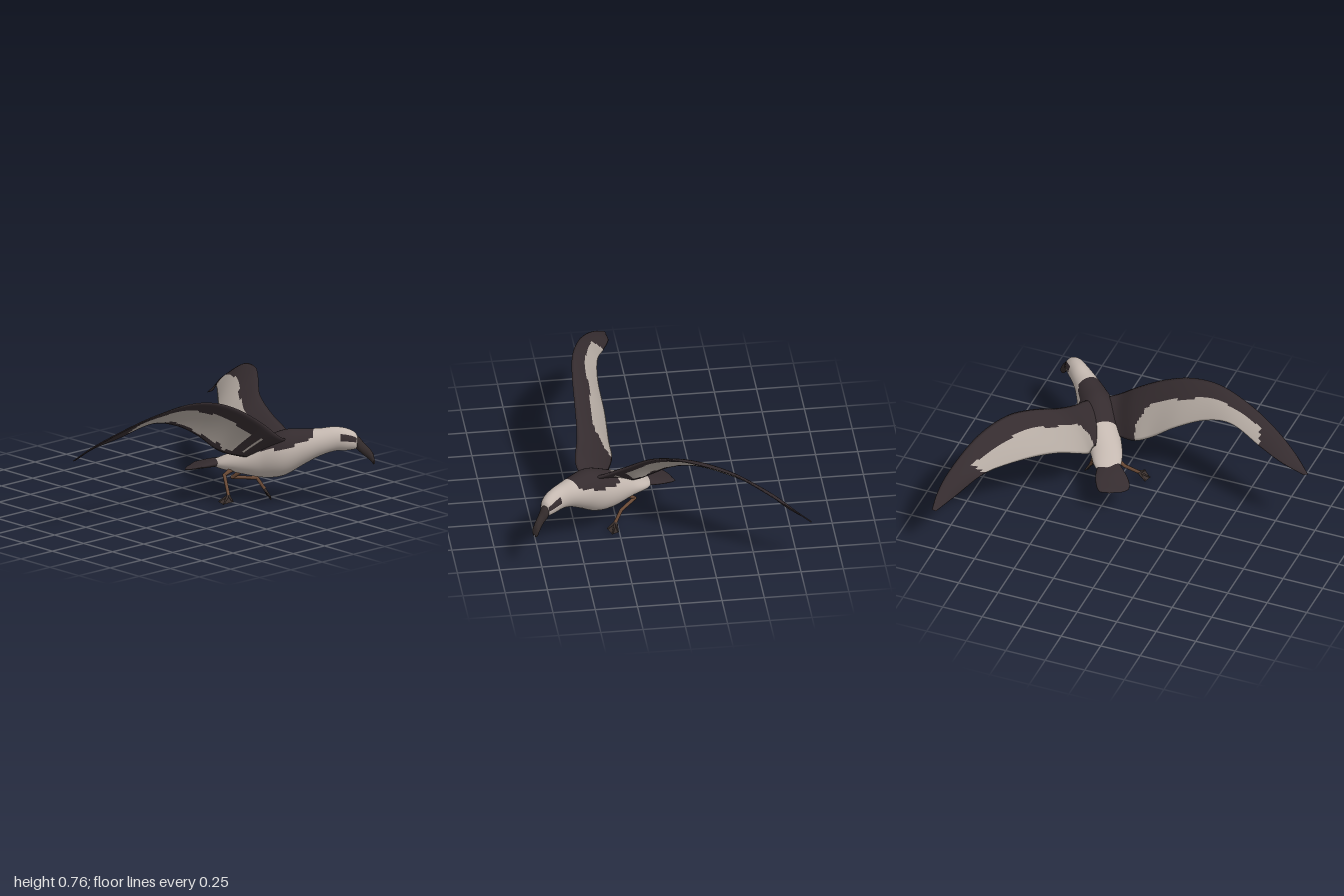
import * as THREE from 'three';

const V = (p) => new THREE.Vector3(p[0], p[1], p[2]);
const mat = (name, color) => {
  const m = new THREE.MeshStandardMaterial({ color });
  m.name = name;
  return m;
};

// Skins rows of closed rings; pick(u, v) chooses the material index of each cell
function loft(name, rings, materials, pick = () => 0, flip = false) {
  const n = rings.length, k = rings[0].length;
  const pos = rings.flat().flatMap((p) => [p.x, p.y, p.z]);
  const lists = materials.map(() => []);
  for (let i = 0; i < n - 1; i++) {
    for (let j = 0; j < k; j++) {
      const j2 = (j + 1) % k;
      const a = i * k + j, b = a + k, c = i * k + j2, d = c + k;
      const list = lists[pick((i + 0.5) / (n - 1), (j + 0.5) / k)];
      if (flip) list.push(a, c, b, b, c, d);
      else list.push(a, b, c, b, d, c);
    }
  }
  const geo = new THREE.BufferGeometry();
  geo.setAttribute('position', new THREE.Float32BufferAttribute(pos, 3));
  geo.setIndex(lists.flat());
  let start = 0;
  lists.forEach((l, i) => {
    geo.addGroup(start, l.length, i);
    start += l.length;
  });
  geo.computeVertexNormals();
  const mesh = new THREE.Mesh(geo, materials);
  mesh.name = name;
  return mesh;
}

// Elliptical rings from sections [x, y, z, halfWidth, halfHeight]
function ellipseRings(sections, steps, sides) {
  const path = new THREE.CatmullRomCurve3(sections.map(V));
  const size = new THREE.CatmullRomCurve3(sections.map((s, i) => new THREE.Vector3(s[3], s[4], i * 0.05)));
  const rings = [];
  for (let i = 0; i <= steps; i++) {
    const t = i / steps, c = path.getPoint(t), r = size.getPoint(t);
    const dir = path.getTangent(t).setY(0).normalize();
    const side = new THREE.Vector3(-dir.z, 0, dir.x);
    rings.push(Array.from({ length: sides }, (_, j) => {
      const a = (j / sides) * Math.PI * 2;
      return c.clone().addScaledVector(side, Math.cos(a) * Math.max(r.x, 0.001))
        .add(new THREE.Vector3(0, Math.sin(a) * Math.max(r.y, 0.001), 0));
    }));
  }
  return rings;
}

// Cambered wing between a leading and a trailing edge
function wing(name, lead, trail, materials, flip) {
  const L = new THREE.CatmullRomCurve3(lead.map(V));
  const T = new THREE.CatmullRomCurve3(trail.map(V));
  const steps = 90, M = 20, rings = [];
  for (let i = 0; i <= steps; i++) {
    const t = i / steps, a = L.getPoint(t), b = T.getPoint(t);
    const chord = b.clone().sub(a), len = chord.length();
    const span = L.getTangent(t).add(T.getTangent(t));
    const up = span.cross(chord).normalize().multiplyScalar(flip ? -1 : 1);
    const thick = THREE.MathUtils.lerp(0.028, 0.004, t);
    rings.push(Array.from({ length: M * 2 }, (_, j) => {
      const c = j <= M ? j / M : 2 - j / M;
      const half = thick * 1.3 * Math.sqrt(c) * (1 - c) + 0.001;
      const lift = len * 0.2 * c * (1 - c) + (j <= M ? half : -half);
      return a.clone().addScaledVector(chord, c).addScaledVector(up, lift);
    }));
  }
  // pale panel framed by dark leading edge, wing tip and root
  const pick = (u, v) => {
    const top = v < 0.5, c = top ? v * 2 : 2 - v * 2;
    const wave = 0.03 * Math.sin(u * 31) + 0.02 * Math.sin(u * 73);
    if (top) return c > 0.42 + wave && u > 0.3 - 0.09 * c + wave * 0.5 && u < 0.72 + 0.05 * c ? 1 : 0;
    return c > 0.32 + wave && c < 0.9 + wave && u > 0.2 + wave && u < 0.68 + 0.08 * c ? 1 : 0;
  };
  return loft(name, rings, materials, pick, flip);
}

// Jointed leg with a webbed three-toed foot
function leg(name, joints, toes, skin, web) {
  const g = new THREE.Group();
  g.name = name;
  const bone = (a, b, r1, r2, m, part) => {
    const d = b.clone().sub(a);
    const mesh = new THREE.Mesh(new THREE.CylinderGeometry(r2, r1, d.length(), 8), m);
    mesh.position.copy(a).addScaledVector(d, 0.5);
    mesh.quaternion.setFromUnitVectors(new THREE.Vector3(0, 1, 0), d.normalize());
    mesh.name = part;
    g.add(mesh);
  };
  const pts = joints.map(V), tips = toes.map(V), ankle = pts[pts.length - 1];
  pts.forEach((p, i) => {
    if (i) bone(pts[i - 1], p, i === 1 ? 0.018 : 0.011, 0.010, skin, 'legBone');
    const knob = new THREE.Mesh(new THREE.SphereGeometry(0.011, 10, 8), skin);
    knob.position.copy(p);
    knob.name = 'joint';
    g.add(knob);
  });
  tips.forEach((p) => bone(ankle, p, 0.009, 0.004, web, 'toe'));
  const webGeo = new THREE.BufferGeometry().setFromPoints([ankle, ...tips]);
  webGeo.setIndex([0, 1, 2, 0, 2, 3]);
  webGeo.computeVertexNormals();
  const webMesh = new THREE.Mesh(webGeo, web);
  webMesh.name = 'footWeb';
  g.add(webMesh);
  return g;
}

export function createModel() {
  const bird = new THREE.Group();
  bird.name = 'seabird';
  const white = mat('bodyWhite', 0xc4b8b0);
  const dark = mat('darkFeather', 0x352c2f);
  const pale = mat('paleFeather', 0xb3a9a1);
  const bill = mat('billDark', 0x332b2b);
  const skin = mat('legBrown', 0x6a4a36);
  const web = mat('footDark', 0x3b312e);
  web.side = THREE.DoubleSide;

  // Body, neck and head, with a dark back and eye streaks
  const body = [
    [0.03, 0.225, -0.205, 0.02, 0.01], [0.10, 0.235, -0.25, 0.078, 0.038],
    [0.20, 0.255, -0.30, 0.095, 0.075], [0.32, 0.285, -0.38, 0.108, 0.122],
    [0.42, 0.32, -0.44, 0.112, 0.138], [0.51, 0.36, -0.515, 0.093, 0.108],
    [0.58, 0.39, -0.58, 0.073, 0.083], [0.64, 0.41, -0.645, 0.06, 0.073],
    [0.69, 0.408, -0.695, 0.054, 0.066], [0.725, 0.398, -0.735, 0.038, 0.048],
    [0.742, 0.385, -0.752, 0.004, 0.006],
  ];
  bird.add(loft('body', ellipseRings(body, 80, 40), [white, dark], (u, v) => {
    const s = u * (body.length - 1), up = Math.sin(v * Math.PI * 2);
    const back = s > 2.7 && s < 5.6 && up > 0.3 + 0.18 * Math.abs(s - 4.2);
    const eye = s > 7.5 && s < 9.3 && up > 0.05 && up < 0.55;
    return back || eye ? 1 : 0;
  }));

  // Fanned tail
  bird.add(loft('tail', ellipseRings([
    [0.11, 0.24, -0.25, 0.06, 0.025], [0.03, 0.222, -0.205, 0.09, 0.02],
    [-0.03, 0.205, -0.165, 0.098, 0.012], [-0.065, 0.195, -0.14, 0.085, 0.007],
    [-0.08, 0.19, -0.132, 0.03, 0.003],
  ], 20, 28), [dark]));

  // Hooked bill
  bird.add(loft('bill', ellipseRings([
    [0.715, 0.40, -0.725, 0.02, 0.03], [0.735, 0.38, -0.748, 0.03, 0.042],
    [0.76, 0.347, -0.77, 0.023, 0.037], [0.785, 0.312, -0.797, 0.022, 0.035],
    [0.797, 0.286, -0.81, 0.021, 0.03], [0.803, 0.268, -0.816, 0.004, 0.008],
  ], 24, 20), [bill]));

  // Wings
  bird.add(wing('rightWing', [
    [0.46, 0.40, -0.46], [0.38, 0.44, -0.50], [0.24, 0.50, -0.52], [0.085, 0.575, -0.565],
    [-0.05, 0.63, -0.675], [-0.18, 0.65, -0.775], [-0.39, 0.615, -0.88],
    [-0.64, 0.475, -0.975], [-0.75, 0.395, -0.995], [-0.812, 0.34, -0.995],
  ], [
    [0.30, 0.30, -0.36], [0.23, 0.30, -0.335], [0.14, 0.31, -0.355], [0.03, 0.34, -0.345],
    [-0.05, 0.39, -0.375], [-0.18, 0.455, -0.475], [-0.35, 0.48, -0.625],
    [-0.53, 0.465, -0.78], [-0.68, 0.385, -0.89], [-0.81, 0.335, -0.97],
  ], [dark, pale], false));
  bird.add(wing('leftWing', [
    [0.47, 0.40, -0.46], [0.50, 0.45, -0.34], [0.475, 0.55, -0.22], [0.465, 0.67, -0.03],
    [0.455, 0.74, 0.15], [0.43, 0.758, 0.33], [0.37, 0.712, 0.55],
    [0.30, 0.645, 0.73], [0.22, 0.56, 0.89], [0.155, 0.485, 0.995],
  ], [
    [0.32, 0.29, -0.36], [0.30, 0.30, -0.26], [0.255, 0.335, -0.14], [0.26, 0.385, -0.04],
    [0.265, 0.49, 0.10], [0.28, 0.595, 0.30], [0.262, 0.63, 0.46],
    [0.195, 0.565, 0.68], [0.15, 0.525, 0.83], [0.145, 0.48, 0.97],
  ], [dark, pale], true));

  // Legs, caught mid-stride
  bird.add(leg('leftLeg', [[0.20, 0.22, -0.25], [0.19, 0.185, -0.18], [0.28, 0.09, -0.13]],
    [[0.34, 0.065, -0.11], [0.305, 0.05, -0.065], [0.255, 0.055, -0.075]], skin, web));
  bird.add(leg('rightLeg', [[0.22, 0.21, -0.33], [0.14, 0.142, -0.29], [0.235, 0.135, -0.40], [0.27, 0.075, -0.425]],
    [[0.32, 0.03, -0.43], [0.295, 0.006, -0.455], [0.26, 0.02, -0.46]], skin, web));
  return bird;
}
